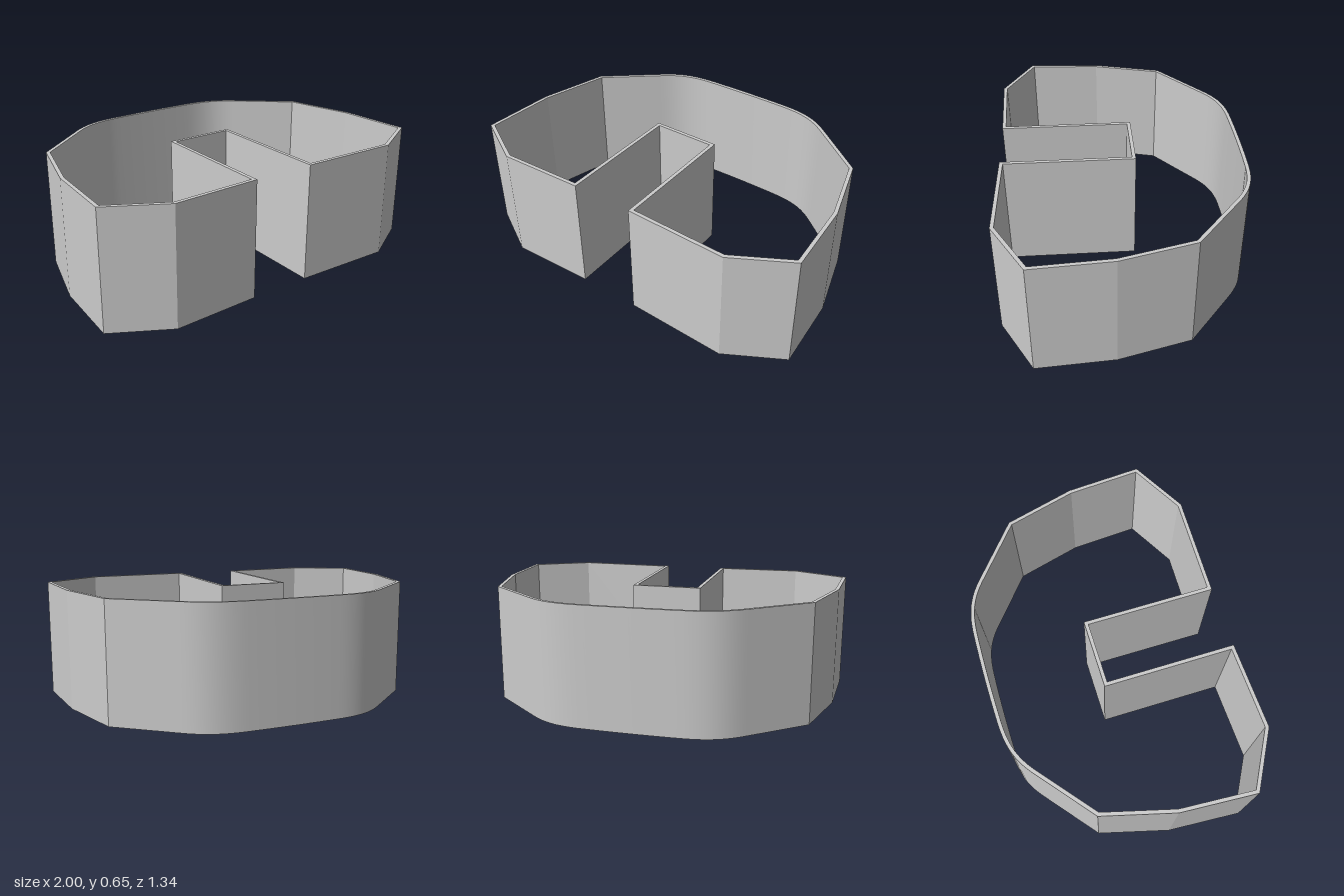
import * as THREE from 'three';
import { toCreasedNormals } from 'three/addons/utils/BufferGeometryUtils.js';

const HEIGHT = 0.65;
const HALF_WALL = 0.01;

// Mitred parallel copy of a closed outline
function offsetOutline(points, distance) {
  const n = points.length;
  const normal = (a, b) => {
    const d = b.clone().sub(a).normalize();
    return new THREE.Vector2(d.y, -d.x);
  };
  return points.map((p, i) => {
    const n1 = normal(points[(i + n - 1) % n], p);
    const n2 = normal(p, points[(i + 1) % n]);
    const miter = n1.clone().add(n2);
    return p.clone().addScaledVector(miter, distance / (1 + n1.dot(n2)));
  });
}

// Centre line of the wall, counter-clockwise; shape y is -z
function wallCentreLine() {
  const v = (x, z) => new THREE.Vector2(x, -z);

  // Right half of the rounded back, from its straight flank to the crown
  const bend = new THREE.CubicBezierCurve(
    v(0.57, -0.545), v(0.48, -0.62), v(0.4, -0.655), v(0.25, -0.659)
  ).getPoints(14);
  const crown = new THREE.QuadraticBezierCurve(
    v(0.25, -0.659), v(0, -0.667), v(-0.25, -0.659)
  ).getPoints(8).slice(1, -1);

  // Angular flank, from the front corner to the back corner
  const flank = [v(0.69, 0.656), v(0.988, 0.49), v(0.962, 0.08), v(0.86, -0.307)];
  const side = [...flank, ...bend];
  const mirrored = side.map((p) => new THREE.Vector2(-p.x, p.y)).reverse();

  // Off-centre rectangular notch in the front
  const notch = [v(-0.222, 0.641), v(-0.222, -0.07), v(0.142, -0.07), v(0.142, 0.641)];

  return [...side, ...crown, ...mirrored, ...notch];
}

export function createModel() {
  const group = new THREE.Group();
  group.name = 'notchedEnclosure';

  // Thin closed wall, open above and below
  const line = wallCentreLine();
  const shape = new THREE.Shape(offsetOutline(line, HALF_WALL));
  shape.holes.push(new THREE.Path(offsetOutline(line, -HALF_WALL).reverse()));
  const extruded = new THREE.ExtrudeGeometry(shape, { depth: HEIGHT, bevelEnabled: false });
  extruded.rotateX(-Math.PI / 2);

  const wall = new THREE.Mesh(
    toCreasedNormals(extruded, 0.15),
    new THREE.MeshStandardMaterial({ color: 0xcccccc })
  );
  wall.name = 'wall';
  group.add(wall);
  return group;
}
